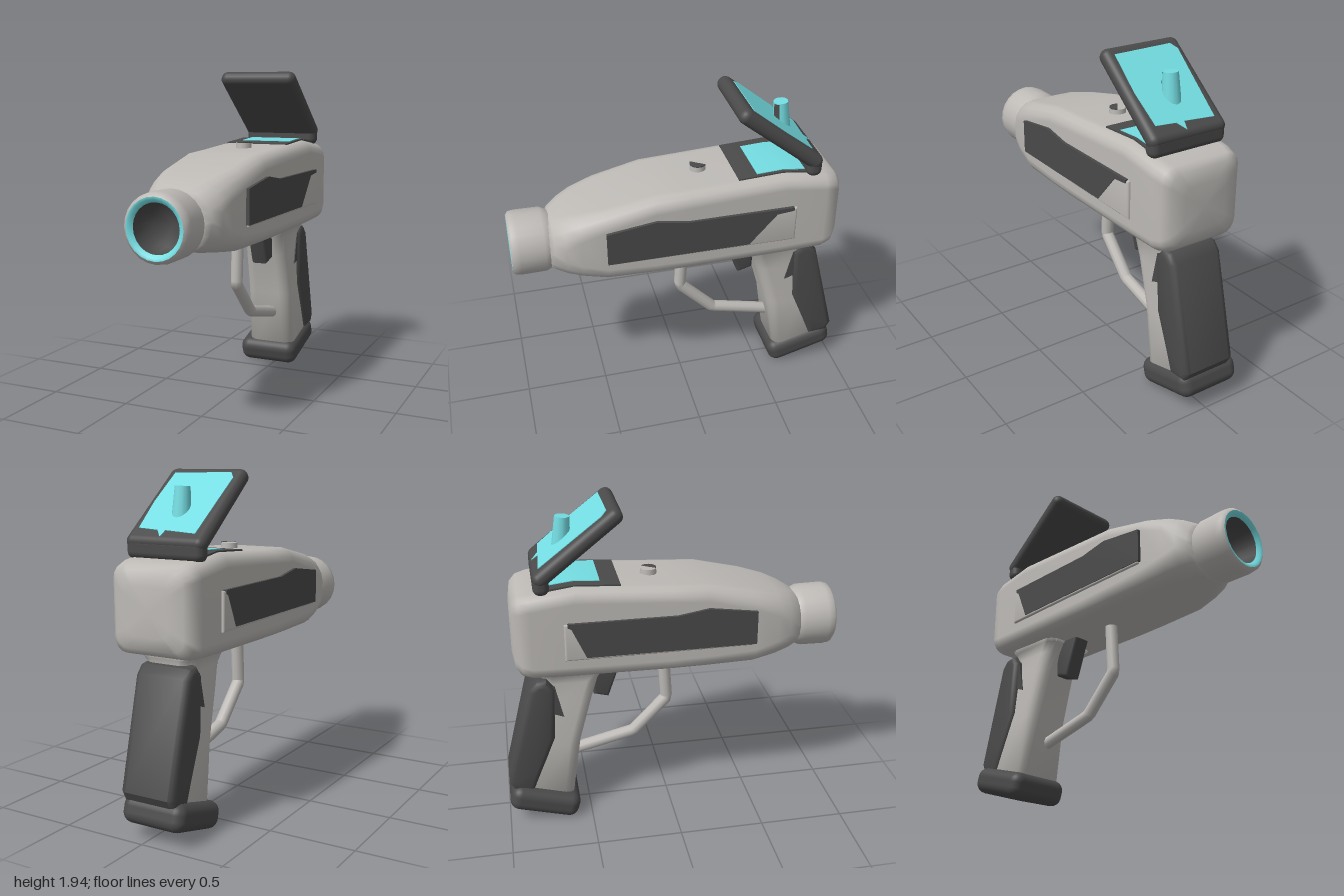
import * as THREE from 'three';
import { toCreasedNormals } from 'three/addons/utils/BufferGeometryUtils.js';
import { RoundedBoxGeometry } from 'three/addons/geometries/RoundedBoxGeometry.js';

const paint = (name, color) => {
  const m = new THREE.MeshStandardMaterial({ color });
  m.name = name;
  return m;
};

// Rounded-rectangle rings [w, cu, cv, halfU, halfV, radius] joined along w, with closed ends
function loft(sections, place) {
  const K = 5, N = 4 * K, pos = [], idx = [];
  for (const [w, cu, cv, hu, hv, r] of sections) {
    for (let c = 0; c < 4; c++) {
      const su = c === 0 || c === 3 ? 1 : -1, sv = c < 2 ? 1 : -1;
      for (let k = 0; k < K; k++) {
        const a = (c + k / (K - 1)) * Math.PI / 2;
        pos.push(...place(cu + su * (hu - r) + r * Math.cos(a), cv + sv * (hv - r) + r * Math.sin(a), w));
      }
    }
  }
  const last = sections.length - 1;
  for (let i = 0; i < last; i++) {
    for (let j = 0; j < N; j++) {
      const a = i * N + j, b = i * N + (j + 1) % N;
      idx.push(a, b, b + N, a, b + N, a + N);
    }
  }
  for (const [i, end] of [[0, 0], [last, 1]]) {
    const [w, cu, cv] = sections[i], centre = pos.length / 3;
    pos.push(...place(cu, cv, w));
    for (let j = 0; j < N; j++) {
      const a = i * N + j, b = i * N + (j + 1) % N;
      if (end) idx.push(a, b, centre); else idx.push(b, a, centre);
    }
  }
  const g = new THREE.BufferGeometry();
  g.setAttribute('position', new THREE.Float32BufferAttribute(pos, 3));
  g.setIndex(idx);
  g.computeVertexNormals();
  return g;
}

// Side outline of [z, y] points, given a width in x
function sideCut(points, width, x = 0, bevel = 0) {
  const shape = new THREE.Shape(points.map(([z, y]) => new THREE.Vector2(z, y)));
  const depth = width - 2 * bevel;
  const g = new THREE.ExtrudeGeometry(shape, {
    depth, bevelEnabled: bevel > 0, bevelSize: bevel, bevelThickness: bevel, bevelOffset: -bevel, bevelSegments: 3,
  });
  g.translate(0, 0, -depth / 2).rotateY(-Math.PI / 2).translate(x, 0, 0);
  return toCreasedNormals(g, 0.7);
}

const turned = (profile) => new THREE.LatheGeometry(
  profile.map(([r, z]) => new THREE.Vector2(r, z)), 24).rotateX(Math.PI / 2);

export function createModel() {
  const model = new THREE.Group();
  const shell = paint('light grey', 0xbdbab6);
  const dark = paint('charcoal', 0x4a4a4a);
  const cyan = paint('cyan', 0x74dde2);
  const add = (name, geometry, material, parent = model) => {
    const m = new THREE.Mesh(geometry, material);
    m.name = name;
    parent.add(m);
    return m;
  };

  // Main body, from the bulging rear to the tapered nose
  const body = [
    // z, bottom, top, half width, corner radius
    [-0.91, 1.10, 1.36, 0.13, 0.05],
    [-0.895, 1.03, 1.44, 0.21, 0.07],
    [-0.86, 0.995, 1.47, 0.25, 0.08],
    [-0.80, 0.98, 1.485, 0.265, 0.08],
    [-0.55, 0.975, 1.52, 0.268, 0.08],
    [0.0, 0.97, 1.488, 0.27, 0.08],
    [0.2, 0.97, 1.48, 0.27, 0.085],
    [0.48, 0.97, 1.42, 0.268, 0.1],
    [0.62, 0.985, 1.385, 0.25, 0.12],
    [0.70, 0.995, 1.355, 0.232, 0.14],
    [0.76, 1.005, 1.325, 0.2, 0.15],
    [0.79, 1.01, 1.30, 0.16, 0.14],
  ].map(([z, y0, y1, hw, r]) => [z, 0, (y0 + y1) / 2, hw, (y1 - y0) / 2, r]);
  add('body', loft(body, (u, v, w) => [u, v, w]), shell);

  // Muzzle: outer sleeve, bright rim and dark bore
  const muzzle = new THREE.Group();
  muzzle.name = 'muzzle';
  muzzle.position.set(-0.005, 1.158, 0);
  model.add(muzzle);
  add('muzzleSleeve', turned([[0.15, 0.74], [0.17, 0.775], [0.186, 0.81], [0.188, 0.95], [0.183, 0.985], [0.165, 1.0]]), shell, muzzle);
  add('muzzleRim', turned([[0.165, 1.0], [0.15, 0.998], [0.134, 0.98]]), cyan, muzzle);
  add('muzzleBore', turned([[0.134, 0.98], [0.13, 0.8], [0, 0.8]]), dark, muzzle);

  // Raised side panels with angled dark inlays
  add('sidePanels', sideCut([[0.47, 1.11], [0.47, 1.32], [-0.62, 1.325], [-0.62, 1.105]], 0.566, 0, 0.012), shell);
  for (const [side, cut] of [[1, 0], [-1, -0.16]]) {
    add(side > 0 ? 'leftInlay' : 'rightInlay', sideCut([
      [0.48, 1.12], [0.48, 1.32], [0.2, 1.36], [0.02, 1.33], [-0.6, 1.33],
      [-0.6, 1.31], [-0.5 + cut * 0.5, 1.30], [-0.34 + cut, 1.12],
    ], 0.06, side * 0.257), dark);
  }

  // Compartment in the top of the body
  add('compartmentFloor', sideCut([[-0.29, 1.495], [-0.29, 1.511], [-0.55, 1.526], [-0.73, 1.505], [-0.73, 1.49]], 0.4), dark);
  add('compartmentLight', sideCut([[-0.4, 1.50], [-0.4, 1.521], [-0.55, 1.53], [-0.71, 1.511], [-0.71, 1.49]], 0.32, 0.02), cyan);

  // Small knob on top, half of its cap dark
  add('knob', new THREE.CylinderGeometry(0.047, 0.05, 0.06, 12), shell).position.set(-0.005, 1.495, -0.105);
  const cap = add('knobCap', new THREE.CylinderGeometry(0.047, 0.047, 0.006, 8, 1, false, -0.6, Math.PI), dark);
  cap.position.set(-0.005, 1.526, -0.105);

  // Open lid, tilted back on its hinge
  const lid = new THREE.Group();
  lid.name = 'lid';
  lid.position.set(0, 1.737, -0.522);
  lid.rotation.x = -0.67;
  model.add(lid);
  add('lidPlate', new RoundedBoxGeometry(0.49, 0.088, 0.615, 4, 0.042), dark, lid);
  const screen = new THREE.Shape([
    [-0.2, -0.21], [-0.17, -0.25], [0.19, -0.245], [0.2, 0], [0.185, 0.21], [0.06, 0.22],
    [0.02, 0.27], [0.01, 0.22], [-0.18, 0.235], [-0.19, 0],
  ].map(([x, y]) => new THREE.Vector2(x, y)));
  add('lidScreen', new THREE.ExtrudeGeometry(screen, { depth: 0.005, bevelEnabled: false })
    .rotateX(-Math.PI / 2).translate(0, 0.0425, 0), cyan, lid);
  add('hinge', new RoundedBoxGeometry(0.48, 0.12, 0.09, 3, 0.04), dark).position.set(0, 1.54, -0.728);

  // Stalk standing on the lid
  const stalk = new THREE.Group();
  stalk.name = 'stalk';
  stalk.position.set(-0.005, 1.765, -0.588);
  stalk.rotation.x = 0.08;
  model.add(stalk);
  add('stalkPost', new THREE.CylinderGeometry(0.042, 0.055, 0.19, 12), cyan, stalk);
  add('stalkStripe', new THREE.CylinderGeometry(0.044, 0.057, 0.18, 3, 1, false, 0.3, 0.8), dark, stalk);

  // Handle, raked backwards
  const handle = [
    // y, front z, back z, centre x, half width, corner radius
    [0.15, -0.60, -0.92, -0.028, 0.155, 0.06],
    [0.5, -0.545, -0.85, -0.025, 0.15, 0.07],
    [0.78, -0.465, -0.78, -0.02, 0.142, 0.07],
    [0.9, -0.425, -0.76, -0.012, 0.138, 0.07],
    [0.96, -0.39, -0.77, 0, 0.16, 0.07],
    [1.0, -0.35, -0.79, 0, 0.2, 0.07],
  ].map(([y, z0, z1, cx, hw, r]) => [y, (z0 + z1) / 2, cx, (z0 - z1) / 2, hw, r]);
  add('handle', loft(handle, (u, v, w) => [v, w, u]), shell);

  // Dark grip wrapped around the back of the handle
  add('grip', sideCut([
    [-0.79, 0.33], [-0.70, 0.55], [-0.685, 0.88], [-0.73, 0.94], [-0.79, 0.93],
    [-0.835, 0.88], [-0.99, 0.27], [-0.96, 0.21], [-0.84, 0.2],
  ], 0.34, -0.025, 0.035), dark);
  add('gripPoint', sideCut([[-0.64, 0.69], [-0.685, 0.89], [-0.74, 0.9], [-0.75, 0.6], [-0.69, 0.71]], 0.3, -0.021), dark);

  // Butt pad under the handle
  const pad = add('buttPad', new RoundedBoxGeometry(0.39, 0.155, 0.425, 4, 0.06), dark);
  pad.position.set(-0.045, 0.123, -0.782);
  pad.rotation.x = 0.28;

  // Trigger and its guard
  add('trigger', sideCut([[-0.27, 0.99], [-0.36, 0.735], [-0.45, 0.76], [-0.46, 0.99]], 0.11, -0.005, 0.02), dark);
  const guard = new THREE.CurvePath();
  const bends = [[-0.02, 1.0], [0.0, 0.67], [-0.21, 0.455], [-0.6, 0.36]].map(([z, y]) => new THREE.Vector3(-0.005, y, z));
  for (let i = 0; i < 3; i++) guard.add(new THREE.LineCurve3(bends[i], bends[i + 1]));
  add('triggerGuard', new THREE.TubeGeometry(guard, 40, 0.037, 10), shell);
  return model;
}
